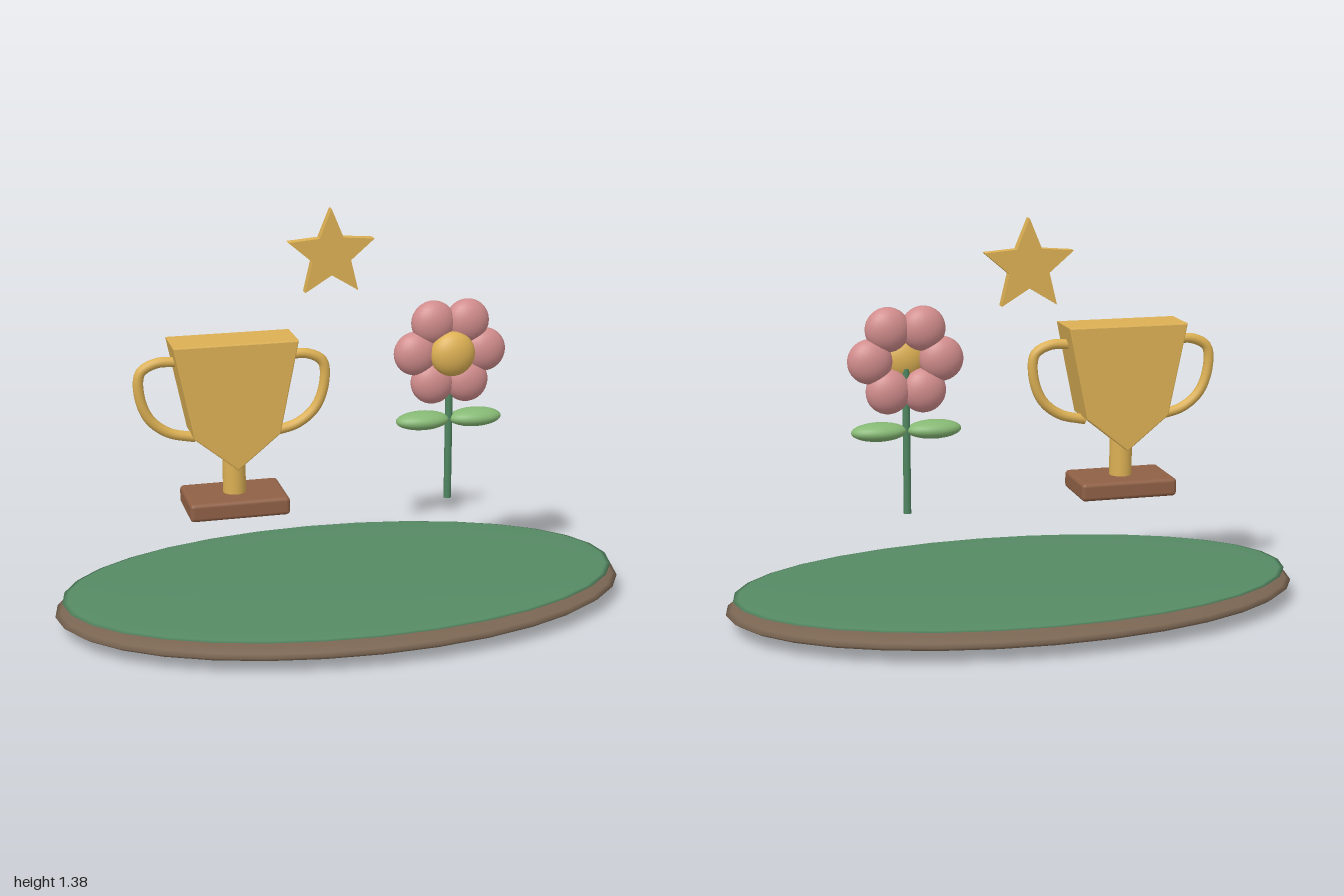
import * as THREE from 'three';
import { RoundedBoxGeometry } from 'three/addons/geometries/RoundedBoxGeometry.js';

const paint = (color) => new THREE.MeshStandardMaterial({ color });
const gold = paint(0xdcb054);
const wood = paint(0x8f6045);
const pink = paint(0xd18c8c);
const stemGreen = paint(0x4f8560);
const leafGreen = paint(0x86b874);
const grassGreen = paint(0x568a64);
const soilBrown = paint(0x7a6552);

function add(parent, name, geometry, material, x = 0, y = 0, z = 0) {
  const mesh = new THREE.Mesh(geometry, material);
  mesh.name = name;
  mesh.position.set(x, y, z);
  parent.add(mesh);
  return mesh;
}

function ellipsoid(rx, ry, rz) {
  return new THREE.SphereGeometry(1, 32, 16).scale(rx, ry, rz);
}

// Extrusion centred on z = 0, bevel kept inside the given outline depth
function slab(points, depth, bevel = 0) {
  const shape = new THREE.Shape(points.map(([x, y]) => new THREE.Vector2(x, y)));
  const geometry = new THREE.ExtrudeGeometry(shape, {
    depth: depth - 2 * bevel, bevelEnabled: bevel > 0,
    bevelThickness: bevel, bevelSize: bevel, bevelOffset: -bevel, bevelSegments: 2,
  });
  return geometry.translate(0, 0, bevel - depth / 2);
}

function createGround() {
  const ground = new THREE.Group();
  ground.name = 'ground';
  add(ground, 'soil', ellipsoid(1, 0.06, 0.547), soilBrown, 0, 0.06, 0);
  add(ground, 'grass', ellipsoid(0.975, 0.018, 0.525), grassGreen, 0, 0.105, 0);
  return ground;
}

function createTrophy() {
  const trophy = new THREE.Group();
  trophy.name = 'trophy';
  trophy.position.x = -0.378;
  add(trophy, 'trophyBase', new RoundedBoxGeometry(0.34, 0.063, 0.222, 3, 0.014), wood, 0, 0.427, 0);
  add(trophy, 'trophyStem', new THREE.CylinderGeometry(0.039, 0.039, 0.14, 24), gold, 0, 0.52, 0);

  // Flat-sided cup tapering to a point
  const cup = [[-0.21, 0.992], [-0.145, 0.675], [0, 0.557], [0.145, 0.675], [0.21, 0.992]];
  add(trophy, 'cup', slab(cup, 0.162, 0.004), gold);

  // Two ear-shaped handles
  for (const side of [-1, 1]) {
    const path = [[0.185, 0.925], [0.255, 0.925], [0.308, 0.895], [0.314, 0.82], [0.283, 0.735], [0.22, 0.683], [0.13, 0.66]];
    const curve = new THREE.CatmullRomCurve3(path.map(([x, y]) => new THREE.Vector3(side * x, y, 0)));
    add(trophy, side > 0 ? 'leftHandle' : 'rightHandle', new THREE.TubeGeometry(curve, 40, 0.0175, 12), gold);
  }
  return trophy;
}

function createFlower() {
  const flower = new THREE.Group();
  flower.name = 'flower';
  flower.position.x = 0.377;
  add(flower, 'flowerStem', new THREE.CylinderGeometry(0.013, 0.013, 0.5, 16), stemGreen, 0, 0.62, 0);
  for (const side of [-1, 1]) {
    add(flower, side > 0 ? 'leftLeaf' : 'rightLeaf', ellipsoid(0.094, 0.032, 0.051), leafGreen, side * 0.094, 0.658, 0);
  }
  // Ring of six petals around the centre
  for (let i = 0; i < 6; i++) {
    const a = (i * Math.PI) / 3;
    add(flower, 'petal', ellipsoid(0.076, 0.076, 0.051), pink, 0.121 * Math.cos(a), 0.898 + 0.121 * Math.sin(a), 0);
  }
  add(flower, 'flowerCentre', ellipsoid(0.078, 0.078, 0.049), gold, 0, 0.898, 0.034);
  return flower;
}

function createStar() {
  const points = [];
  for (let i = 0; i < 10; i++) {
    const r = i % 2 ? 0.071 : 0.158;
    const a = Math.PI / 2 + (i * Math.PI) / 5;
    points.push([r * Math.cos(a), r * Math.sin(a)]);
  }
  const star = new THREE.Mesh(slab(points, 0.037), gold);
  star.name = 'star';
  star.position.set(0, 1.222, -0.166);
  return star;
}

export function createModel() {
  const model = new THREE.Group();
  model.name = 'gardenTrophyScene';
  model.add(createGround(), createTrophy(), createFlower(), createStar());
  return model;
}
